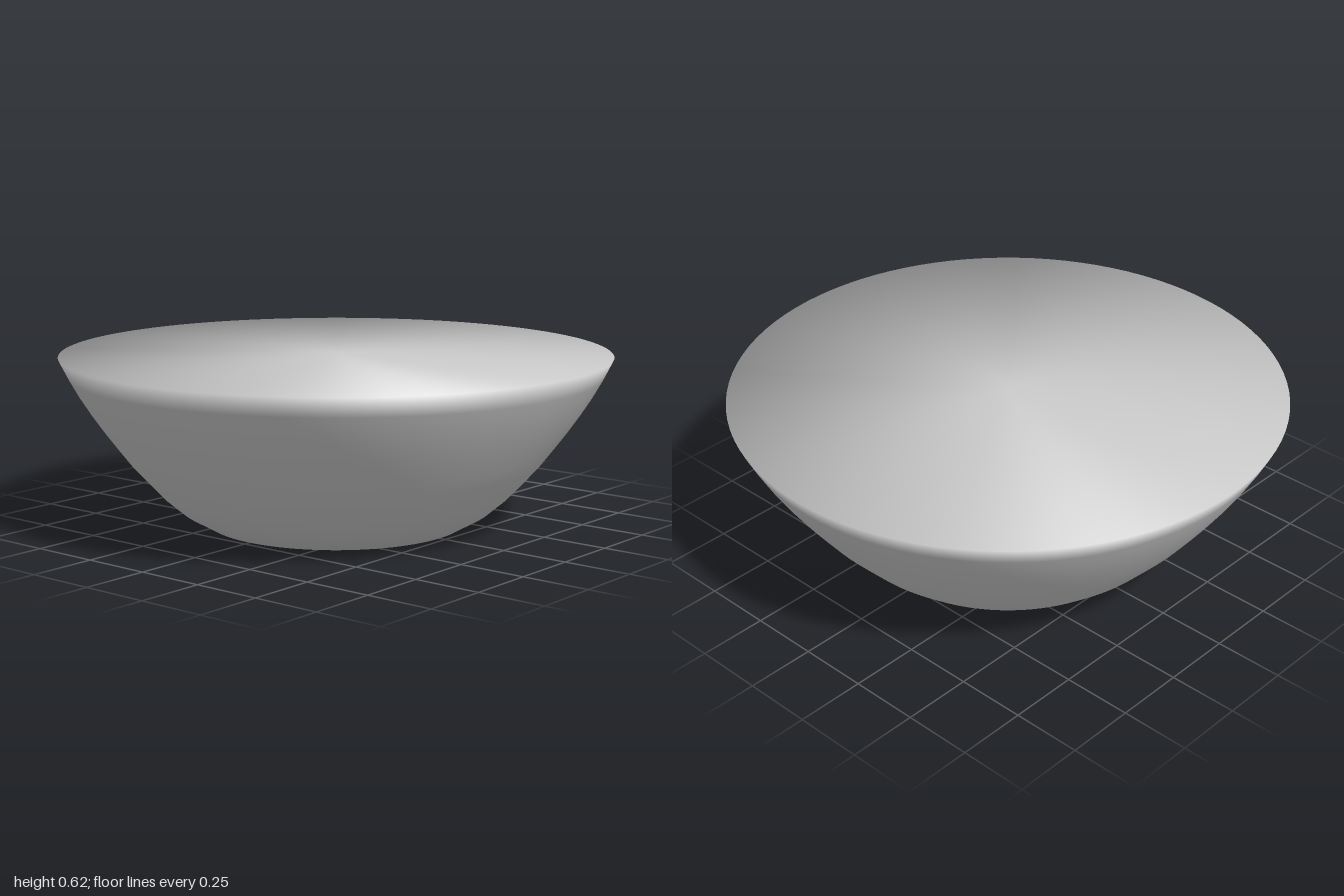
import * as THREE from 'three';

// Outline from the centre of the base, up the curved wall, over the rim to the centre of the top
const PROFILE = [
  [0, 0], [0.475, 0], [0.57, 0.055], [0.64, 0.115], [0.7, 0.18], [0.75, 0.235], [0.8, 0.3],
  [0.845, 0.36], [0.89, 0.425], [0.93, 0.488], [0.965, 0.55], [1, 0.62], [0, 0.62],
].map(([r, y]) => new THREE.Vector2(r, y));

// Outward direction at each outline point: the even blend of its two neighbouring segments
function profileNormals(points) {
  const segments = points.slice(1).map((p, i) => {
    const d = p.clone().sub(points[i]).normalize();
    return new THREE.Vector2(d.y, -d.x);
  });
  return points.map((_, i) => {
    const before = segments[Math.max(i - 1, 0)];
    const after = segments[Math.min(i, segments.length - 1)];
    return before.clone().add(after).normalize();
  });
}

// Turned solid with soft shading across the base edge and the rim
function turnedSolid(points, sides) {
  const geometry = new THREE.LatheGeometry(points, sides);
  const normals = profileNormals(points);
  const attribute = geometry.attributes.normal;
  for (let s = 0; s <= sides; s++) {
    const angle = (s / sides) * Math.PI * 2;
    normals.forEach((n, j) => {
      attribute.setXYZ(s * points.length + j, n.x * Math.sin(angle), n.y, n.x * Math.cos(angle));
    });
  }
  return geometry;
}

export function createModel() {
  const group = new THREE.Group();
  group.name = 'bowl';

  // Curved bowl body, closed by a flat base and a flat top
  const material = new THREE.MeshStandardMaterial({ color: 0xcccccc });
  const body = new THREE.Mesh(turnedSolid(PROFILE, 96), material);
  body.name = 'bowlBody';
  group.add(body);

  return group;
}
